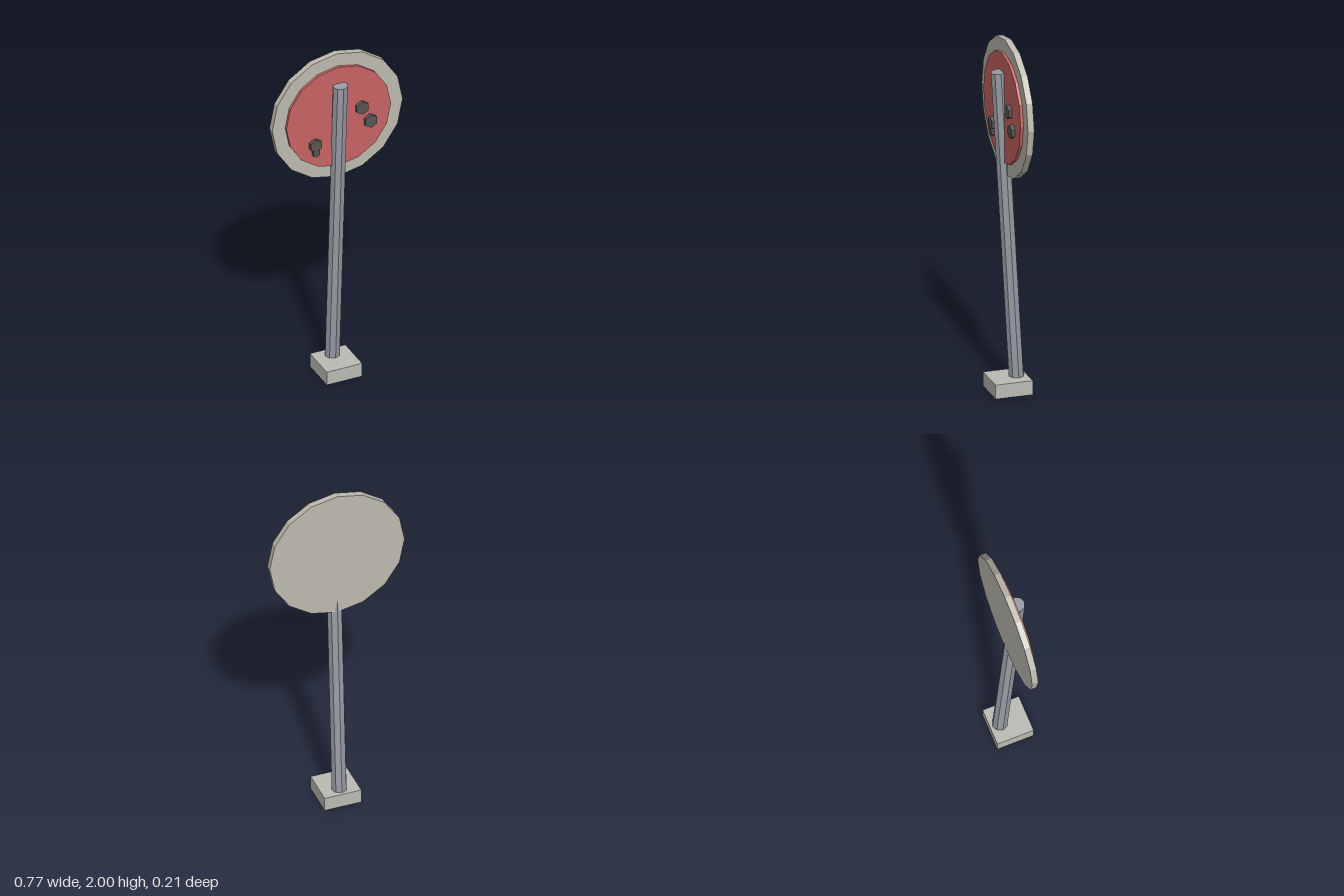
import * as THREE from 'three';

const material = (color) => new THREE.MeshStandardMaterial({ color, flatShading: true });

export function createModel() {
  const model = new THREE.Group();
  model.name = 'signPost';

  const concrete = material(0xbcbcb6);
  const steel = material(0x999ca4);
  const rimPaint = material(0xbebbb0);
  const redPaint = material(0xc96464);
  const boltMetal = material(0x5a5753);

  const add = (name, geometry, mat, x, y, z) => {
    const mesh = new THREE.Mesh(geometry, mat);
    mesh.name = name;
    mesh.position.set(x, y, z);
    model.add(mesh);
    return mesh;
  };

  // Flat prism facing +z, with a corner pointing up
  const disc = (name, radius, sides, x, y, zBack, zFront, mat) => {
    const geometry = new THREE.CylinderGeometry(radius, radius, zFront - zBack, sides);
    geometry.rotateX(Math.PI / 2);
    return add(name, geometry, mat, x, y, (zBack + zFront) / 2);
  };

  // Square foot
  add('base', new THREE.BoxGeometry(0.208, 0.08, 0.208), concrete, 0, 0.045, 0);

  // Eight-sided pole leaning forward, passing through the sign
  const bottom = new THREE.Vector3(0, 0.0025, -0.052);
  const top = new THREE.Vector3(0, 1.823, 0.053);
  const axis = top.clone().sub(bottom);
  const pole = add('pole', new THREE.CylinderGeometry(0.042, 0.042, axis.length(), 8), steel,
    0, (bottom.y + top.y) / 2, (bottom.z + top.z) / 2);
  pole.rotation.x = Math.atan2(axis.z, axis.y);

  // Round sign: pale backing plate and raised red face
  const centerY = 1.618;
  disc('signRim', 0.383, 16, 0, centerY, -0.018, 0.017, rimPaint);
  disc('signFace', 0.307, 16, 0, centerY, 0.01, 0.033, redPaint);

  // Hexagonal studs on the face: x, y, radius
  const studs = [
    [0.133, 1.643, 0.039],
    [0.182, 1.549, 0.039],
    [-0.141, 1.48, 0.0375],
    [-0.138, 1.432, 0.023],
  ];
  studs.forEach(([x, y, radius], i) =>
    disc(`stud${i + 1}`, radius, 6, x, y, 0.025, 0.053, boltMetal));

  return model;
}
